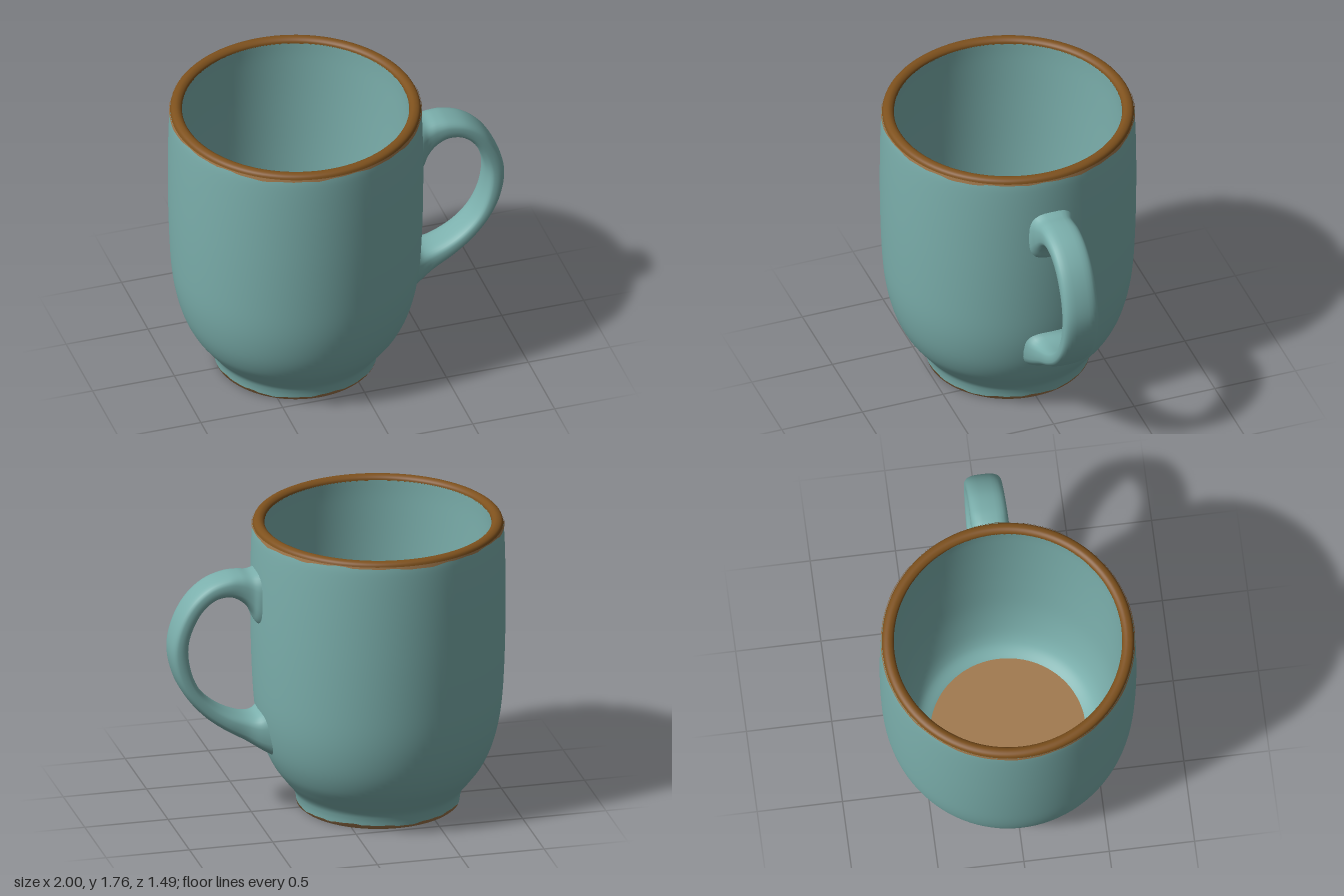
import * as THREE from 'three';

const V2 = (p) => new THREE.Vector2(p[0], p[1]);
const CX = -0.26; // axis of the cup
const SEG = 96;

// uneven edge where the glaze stops
const ragged = (a) => 0.5 + 0.22 * Math.sin(5 * a + 1) + 0.16 * Math.sin(13 * a) + 0.12 * Math.sin(29 * a + 2);

function smooth(points, n) {
  return new THREE.SplineCurve(points.map(V2)).getPoints(n);
}

// the cup is very slightly wider in z than in x
function lathe(name, points, material) {
  const mesh = new THREE.Mesh(new THREE.LatheGeometry(points, SEG), material);
  mesh.name = name;
  mesh.position.x = CX;
  mesh.scale.z = 1.006;
  return mesh;
}

// shifts one ring of a lathe up or down by the ragged rule
function rag(mesh, ring, rings, amount) {
  const pos = mesh.geometry.attributes.position;
  for (let i = 0; i <= SEG; i++) {
    const k = i * rings + ring;
    pos.setY(k, pos.getY(k) + amount * ragged((i / SEG) * Math.PI * 2));
  }
  return mesh;
}

// handle swept through stations: outer x, y, inner x, y, half width
function handleGeometry() {
  const stations = [
    [0.43, 1.53, 0.43, 1.15, 0.15], [0.475, 1.515, 0.485, 1.2, 0.138],
    [0.52, 1.505, 0.515, 1.265, 0.12], [0.58, 1.51, 0.56, 1.325, 0.112],
    [0.65, 1.505, 0.635, 1.37, 0.11], [0.77, 1.465, 0.72, 1.365, 0.108],
    [0.88, 1.375, 0.80, 1.305, 0.107], [0.96, 1.24, 0.865, 1.19, 0.106],
    [0.998, 1.08, 0.89, 1.08, 0.106], [0.975, 0.92, 0.872, 0.93, 0.106],
    [0.91, 0.78, 0.815, 0.80, 0.107], [0.80, 0.645, 0.73, 0.71, 0.108],
    [0.68, 0.55, 0.63, 0.65, 0.112], [0.55, 0.47, 0.535, 0.622, 0.118],
    [0.455, 0.405, 0.475, 0.63, 0.142], [0.375, 0.355, 0.42, 0.69, 0.17],
  ];
  const curve = (f) => new THREE.CatmullRomCurve3(stations.map(f));
  const outer = curve((s) => new THREE.Vector3(s[0], s[1], s[4]));
  const inner = curve((s) => new THREE.Vector3(s[2], s[3], s[4]));
  const N = 90, M = 28;
  const pos = [], idx = [];
  const soft = (v) => Math.sign(v) * Math.pow(Math.abs(v), 0.68);
  for (let i = 0; i <= N; i++) {
    const o = outer.getPoint(i / N), n = inner.getPoint(i / N);
    for (let j = 0; j < M; j++) {
      const a = (j / M) * Math.PI * 2;
      const t = 0.5 + 0.5 * soft(Math.cos(a));
      pos.push(n.x + (o.x - n.x) * t, n.y + (o.y - n.y) * t, o.z * soft(Math.sin(a)));
      if (i < N) {
        const p = i * M + j, q = i * M + ((j + 1) % M);
        idx.push(p, q, p + M, q, q + M, p + M);
      }
    }
  }
  const g = new THREE.BufferGeometry();
  g.setAttribute('position', new THREE.Float32BufferAttribute(pos, 3));
  g.setIndex(idx);
  g.computeVertexNormals();
  return g;
}

export function createModel() {
  const glaze = new THREE.MeshStandardMaterial({ color: 0x7bafac });
  glaze.name = 'teal glaze';
  const brown = new THREE.MeshStandardMaterial({ color: 0x7e511d });
  brown.name = 'dark brown rim';
  const clay = new THREE.MeshStandardMaterial({ color: 0xa0784c });
  clay.name = 'bare clay';
  const group = new THREE.Group();
  group.name = 'mug';

  // outer wall with foot
  group.add(lathe('outerWall', smooth([
    [0.474, 0.012], [0.482, 0.06], [0.5, 0.105], [0.555, 0.175], [0.615, 0.26], [0.665, 0.37],
    [0.7, 0.5], [0.722, 0.65], [0.734, 0.85], [0.741, 1.1], [0.742, 1.35], [0.739, 1.55],
    [0.734, 1.68], [0.728, 1.735],
  ], 60), glaze));

  // inner wall
  group.add(lathe('innerWall', smooth([
    [0.66, 1.735], [0.664, 1.6], [0.662, 1.3], [0.65, 0.95], [0.625, 0.62],
    [0.58, 0.39], [0.525, 0.26], [0.45, 0.2],
  ], 44), glaze));

  // rounded rim
  group.add(lathe('rim', smooth([
    [0.729, 1.733], [0.723, 1.75], [0.709, 1.76], [0.69, 1.763], [0.674, 1.757], [0.663, 1.746], [0.66, 1.732],
  ], 18), brown));

  // thin clay edge under the rim
  group.add(rag(lathe('rimEdge', [[0.7355, 1.713], [0.731, 1.737]].map(V2), clay), 0, 2, 0.024));

  // floor, base and unglazed edge of the foot
  group.add(lathe('floor', [[0.45, 0.2], [0, 0.2]].map(V2), clay));
  group.add(lathe('base', [[0, 0], [0.464, 0]].map(V2), clay));
  group.add(rag(lathe('footEdge', [[0.464, 0], [0.474, 0.008], [0.479, 0.016]].map(V2), clay), 2, 3, 0.016));

  const handle = new THREE.Mesh(handleGeometry(), glaze);
  handle.name = 'handle';
  group.add(handle);
  return group;
}
